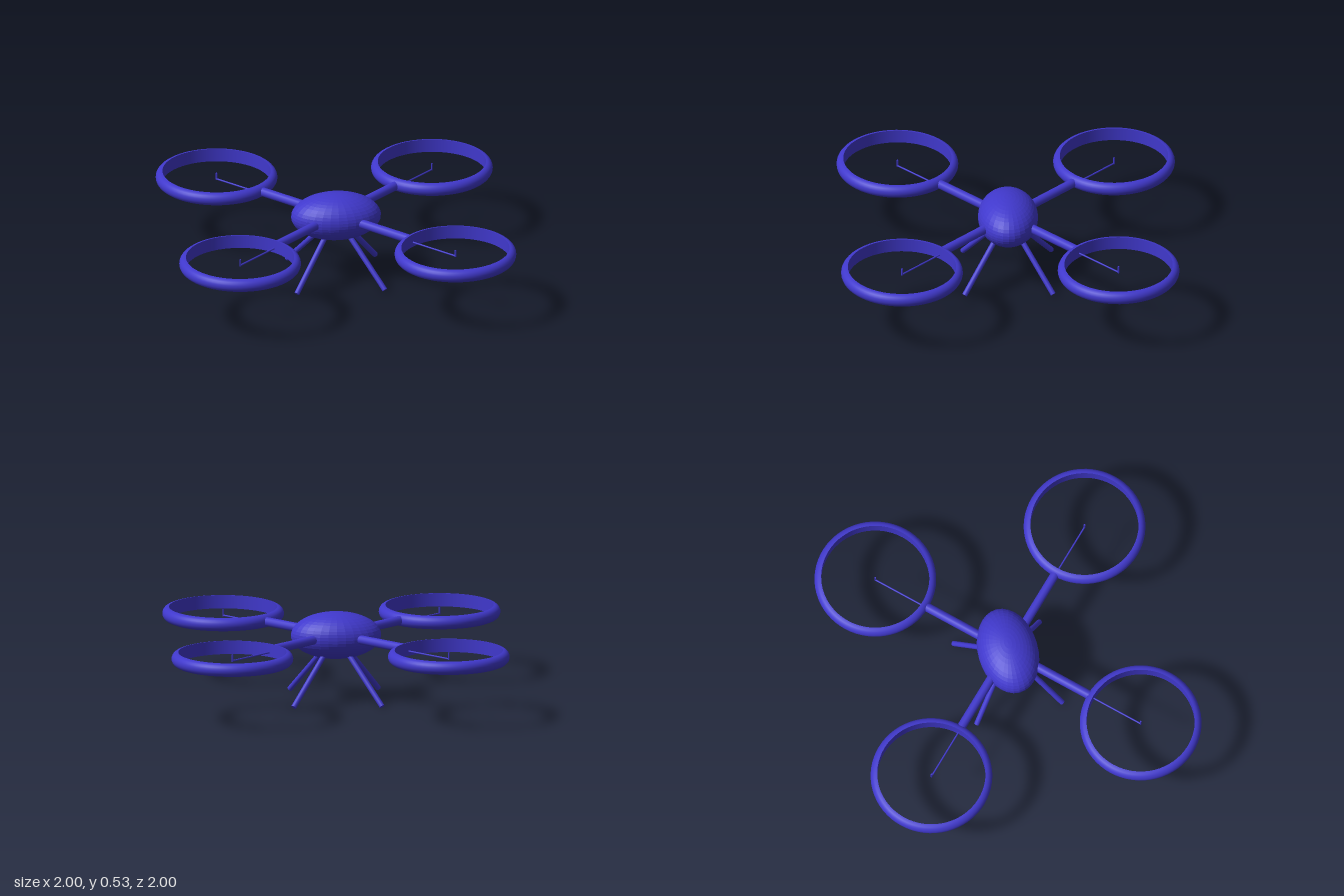
import * as THREE from 'three';

const HUB = 0.39;     // height of body, arms and rings
const ROTOR = 0.64;   // x and z offset of each rotor

export function createModel() {
  const model = new THREE.Group();
  model.name = 'quadcopter';
  const smooth = new THREE.MeshStandardMaterial({ color: 0x4038cc });
  const faceted = new THREE.MeshStandardMaterial({ color: 0x4038cc, flatShading: true });

  function add(parent, name, geometry, material = smooth) {
    const mesh = new THREE.Mesh(geometry, material);
    mesh.name = name;
    parent.add(mesh);
    return mesh;
  }

  // Round bar between two points
  function bar(parent, name, from, to, radius) {
    const a = new THREE.Vector3(...from);
    const b = new THREE.Vector3(...to);
    const dir = b.clone().sub(a);
    const mesh = add(parent, name, new THREE.CylinderGeometry(radius, radius, dir.length(), 16));
    mesh.position.copy(a).add(b).multiplyScalar(0.5);
    mesh.quaternion.setFromUnitVectors(new THREE.Vector3(0, 1, 0), dir.normalize());
    return mesh;
  }

  // Egg-shaped body
  const body = add(model, 'body', new THREE.SphereGeometry(1, 32, 24), faceted);
  body.scale.set(0.267, 0.14, 0.178);
  body.position.y = HUB;

  // Ring guard: domed outside, flat inner wall
  const dome = [];
  for (let i = 0; i <= 12; i++) {
    const t = -Math.PI / 2 + (Math.PI * i) / 12;
    dome.push(new THREE.Vector2(0.32 + 0.04 * Math.cos(t), 0.04 * Math.sin(t)));
  }
  const guardGeometry = new THREE.LatheGeometry(dome, 64);
  const wallGeometry = new THREE.LatheGeometry(
    [new THREE.Vector2(0.32, 0.04), new THREE.Vector2(0.32, -0.04)], 64);

  for (const sx of [1, -1]) {
    for (const sz of [1, -1]) {
      const corner = new THREE.Group();
      corner.name = (sz > 0 ? 'front' : 'back') + (sx > 0 ? 'Left' : 'Right') + 'Rotor';
      model.add(corner);

      const at = (d, y) => [sx * d, y, sz * d];
      bar(corner, 'arm', at(0, HUB), at(0.395, HUB), 0.027);
      bar(corner, 'motorStrut', at(0.38, 0.377), at(ROTOR, 0.377), 0.005);
      bar(corner, 'motorPin', at(ROTOR, 0.372), at(ROTOR, 0.415), 0.005);
      bar(corner, 'leg', at(0, HUB), at(0.262, 0.011), 0.016);

      add(corner, 'ringGuard', guardGeometry).position.set(sx * ROTOR, HUB, sz * ROTOR);
      add(corner, 'ringInnerWall', wallGeometry).position.set(sx * ROTOR, HUB, sz * ROTOR);
    }
  }
  return model;
}
